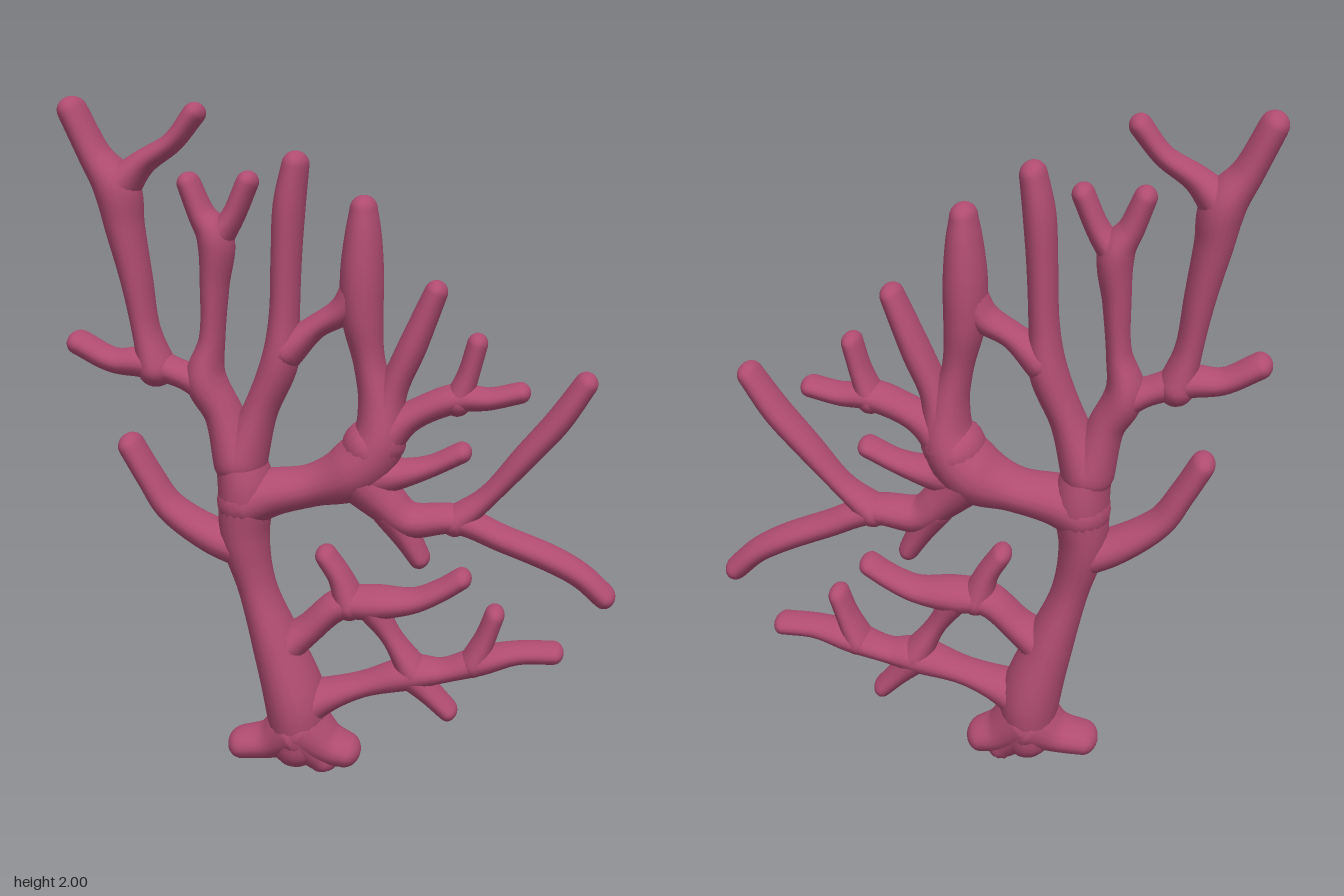
import * as THREE from 'three';

const coral = new THREE.MeshStandardMaterial({ color: 0xb04c70 });
coral.name = 'coral rose';

const SIDES = 20;
const CAP = 6;

// Round-ended limb through [x, y, radius] points; it is deeper in z than it is wide.
function limbGeometry(points) {
  const curve = new THREE.CatmullRomCurve3(points.map(([x, y, r]) => new THREE.Vector3(x, y, r)), false, 'centripetal');
  const steps = (points.length - 1) * 8;
  const rings = [];
  const addRing = (t, angle) => {
    const p = curve.getPoint(t);
    const d = curve.getTangent(t).setZ(0).normalize();
    const shift = p.z * Math.sin(angle);
    rings.push({ x: p.x + d.x * shift, y: p.y + d.y * shift, d, r: p.z, s: Math.max(Math.cos(angle), 0.001) });
  };
  for (let i = 0; i < CAP; i++) addRing(0, (i / CAP - 1) * Math.PI / 2);
  for (let i = 0; i <= steps; i++) addRing(i / steps, 0);
  for (let i = 1; i <= CAP; i++) addRing(1, (i / CAP) * Math.PI / 2);

  const positions = [];
  const index = [];
  rings.forEach(({ x, y, d, r, s }, i) => {
    const depth = 0.02 + 1.3 * r;
    for (let j = 0; j < SIDES; j++) {
      const a = (j / SIDES) * Math.PI * 2;
      const w = Math.cos(a) * r * s;
      // flat underside where the coral stands
      positions.push(x - d.y * w, Math.max(0, y + d.x * w), Math.sin(a) * depth * s);
      if (i === 0) continue;
      const k = (j + 1) % SIDES;
      const p = (i - 1) * SIDES;
      const q = i * SIDES;
      index.push(p + j, p + k, q + j, p + k, q + k, q + j);
    }
  });
  const geometry = new THREE.BufferGeometry();
  geometry.setAttribute('position', new THREE.Float32BufferAttribute(positions, 3));
  geometry.setIndex(index);
  geometry.computeVertexNormals();
  return geometry;
}

// Each limb starts wide inside its parent, so the joints look grown together.
const limbs = {
  // trunk and foot
  trunk: [[-0.13, 0.08, 0.08], [-0.135, 0.2, 0.092], [-0.19, 0.38, 0.074], [-0.25, 0.56, 0.056], [-0.285, 0.72, 0.072],
    [-0.28, 0.87, 0.082], [-0.31, 1.0, 0.062]],
  footLeft: [[-0.14, 0.12, 0.09], [-0.22, 0.075, 0.055], [-0.3, 0.06, 0.045]],
  footRight: [[-0.12, 0.13, 0.09], [-0.04, 0.07, 0.06], [0.015, 0.05, 0.048]],
  footFront: [[-0.11, 0.1, 0.08], [-0.05, 0.03, 0.05]],

  // far side fan
  sideBranch: [[-0.28, 0.68, 0.06], [-0.38, 0.715, 0.052], [-0.51, 0.8, 0.042], [-0.57, 0.89, 0.038], [-0.625, 0.985, 0.037]],
  leftFork: [[-0.3, 0.95, 0.075], [-0.345, 1.09, 0.055], [-0.395, 1.19, 0.058], [-0.375, 1.31, 0.037], [-0.365, 1.46, 0.041],
    [-0.36, 1.6, 0.052], [-0.4, 1.67, 0.038], [-0.435, 1.755, 0.033]],
  leftForkTwig: [[-0.36, 1.59, 0.045], [-0.31, 1.66, 0.034], [-0.265, 1.76, 0.032]],
  outerLink: [[-0.385, 1.17, 0.055], [-0.46, 1.2, 0.04], [-0.57, 1.235, 0.045], [-0.67, 1.24, 0.036], [-0.77, 1.29, 0.036]],
  tallBranch: [[-0.54, 1.22, 0.055], [-0.57, 1.33, 0.04], [-0.595, 1.48, 0.045], [-0.625, 1.63, 0.055], [-0.645, 1.74, 0.064],
    [-0.705, 1.83, 0.046], [-0.768, 1.957, 0.041]],
  tallTwig: [[-0.64, 1.74, 0.06], [-0.57, 1.81, 0.038], [-0.48, 1.87, 0.03], [-0.415, 1.95, 0.032]],

  // middle columns
  middleBranch: [[-0.29, 0.95, 0.075], [-0.235, 1.1, 0.052], [-0.175, 1.25, 0.055], [-0.162, 1.38, 0.044], [-0.155, 1.55, 0.044],
    [-0.145, 1.7, 0.046], [-0.127, 1.81, 0.039]],
  bridge: [[-0.155, 1.28, 0.055], [-0.07, 1.35, 0.036], [0.01, 1.4, 0.043], [0.06, 1.47, 0.055]],

  // main right arm and its fan
  rightArm: [[-0.28, 0.83, 0.085], [-0.2, 0.855, 0.07], [-0.08, 0.88, 0.062], [0.04, 0.93, 0.088], [0.11, 1.02, 0.08],
    [0.11, 1.13, 0.058], [0.085, 1.25, 0.046], [0.065, 1.38, 0.06], [0.063, 1.5, 0.063], [0.066, 1.62, 0.052], [0.067, 1.687, 0.04]],
  upperBranch: [[0.12, 1.02, 0.075], [0.15, 1.16, 0.045], [0.21, 1.3, 0.042], [0.275, 1.455, 0.034]],
  upperSideBranch: [[0.09, 1.0, 0.085], [0.2, 1.09, 0.045], [0.34, 1.15, 0.042], [0.43, 1.15, 0.032], [0.52, 1.17, 0.03]],
  upperSideTwig: [[0.34, 1.14, 0.042], [0.37, 1.22, 0.032], [0.395, 1.31, 0.03]],
  innerTwig: [[0.06, 0.92, 0.08], [0.16, 0.92, 0.048], [0.26, 0.945, 0.032], [0.355, 0.99, 0.03]],
  lowerArm: [[0.04, 0.93, 0.085], [0.13, 0.84, 0.062], [0.2, 0.785, 0.052], [0.34, 0.79, 0.042], [0.48, 0.735, 0.038],
    [0.63, 0.675, 0.038], [0.71, 0.63, 0.036], [0.775, 0.572, 0.035]],
  lowerArmRise: [[0.34, 0.785, 0.045], [0.43, 0.86, 0.031], [0.54, 0.985, 0.036], [0.63, 1.09, 0.038], [0.705, 1.2, 0.034]],
  lowerArmTwig: [[0.15, 0.81, 0.055], [0.2, 0.73, 0.04], [0.235, 0.67, 0.032]],

  // low right lattice
  latticeUpper: [[-0.19, 0.36, 0.065], [-0.1, 0.43, 0.046], [0.0, 0.515, 0.046], [0.1, 0.525, 0.05], [0.22, 0.535, 0.036],
    [0.3, 0.57, 0.032], [0.36, 0.608, 0.031]],
  latticeUpperTwig: [[0.03, 0.52, 0.05], [0.0, 0.6, 0.036], [-0.042, 0.665, 0.032]],
  latticeLink: [[0.09, 0.52, 0.048], [0.155, 0.42, 0.031], [0.22, 0.315, 0.048]],
  latticeLower: [[-0.12, 0.19, 0.075], [-0.04, 0.225, 0.05], [0.07, 0.265, 0.036], [0.22, 0.31, 0.048], [0.31, 0.32, 0.034],
    [0.42, 0.355, 0.04], [0.53, 0.385, 0.032], [0.635, 0.39, 0.031]],
  latticeLowerRise: [[0.4, 0.35, 0.042], [0.435, 0.43, 0.032], [0.46, 0.5, 0.03]],
  latticeLowerTwig: [[0.21, 0.31, 0.048], [0.27, 0.25, 0.035], [0.325, 0.195, 0.03]],
};

export function createModel() {
  const model = new THREE.Group();
  model.name = 'fanCoral';
  for (const [name, points] of Object.entries(limbs)) {
    const mesh = new THREE.Mesh(limbGeometry(points), coral);
    mesh.name = name;
    model.add(mesh);
  }
  return model;
}
